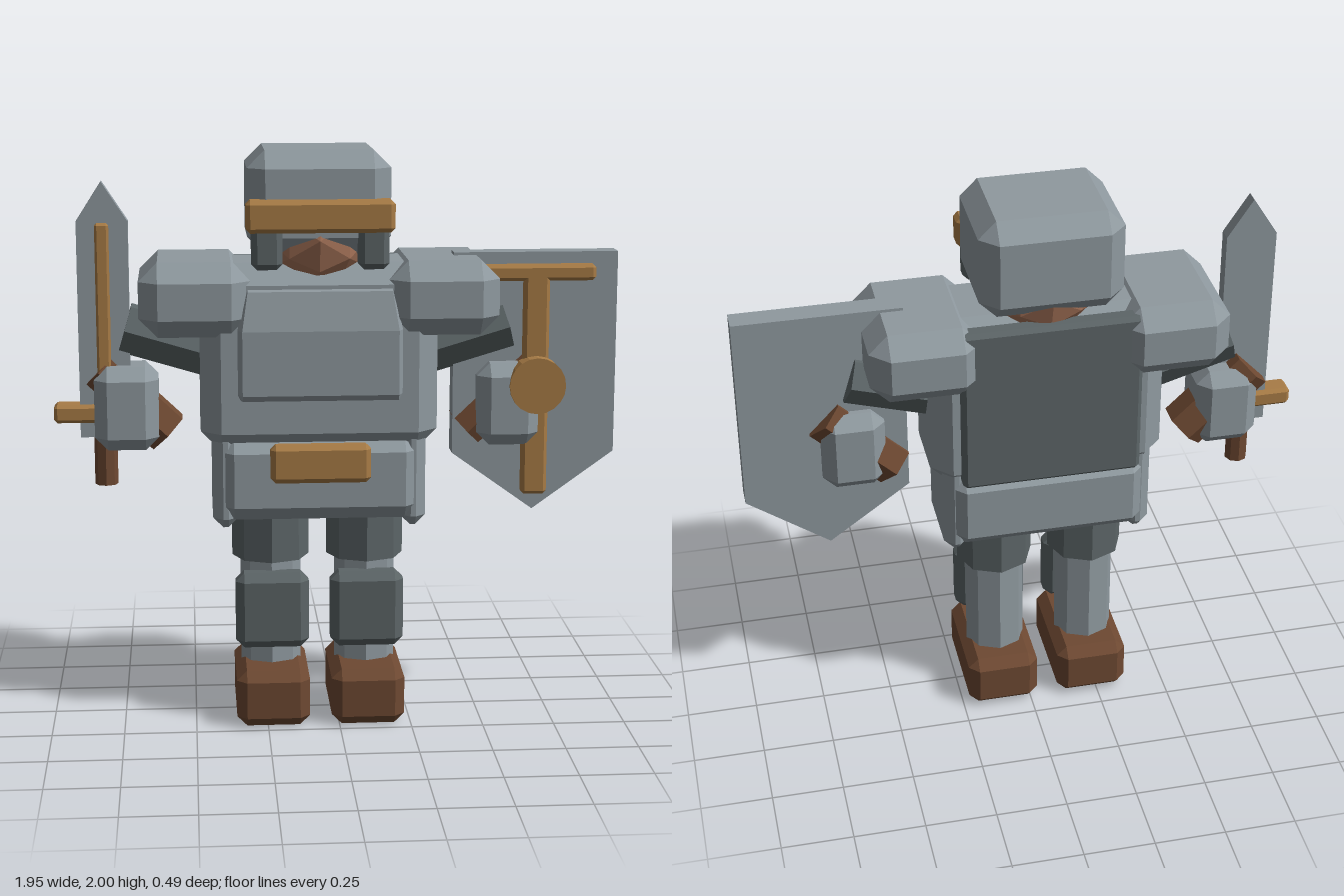
import * as THREE from 'three';
import { ConvexGeometry } from 'three/addons/geometries/ConvexGeometry.js';

const material = (name, color) => {
  const m = new THREE.MeshStandardMaterial({ color });
  m.name = name;
  return m;
};

// The body's own mirror plane; sword and shield make the whole wider on the left.
const CX = -0.065;

export function createModel() {
  const steel = material('steel', 0x8f999f);
  const darkSteel = material('dark steel', 0x5c6567);
  const brass = material('brass', 0xa87c46);
  const leather = material('leather', 0x6e4932);
  const skin = material('skin', 0xa8755a);

  const model = new THREE.Group();
  model.name = 'knight';

  function add(name, geometry, mat, parent = model) {
    const g = geometry.index ? geometry.toNonIndexed() : geometry;
    g.computeVertexNormals(); // flat facets
    const mesh = new THREE.Mesh(g, mat);
    mesh.name = name;
    parent.add(mesh);
    return mesh;
  }

  // Box with chamfered edges, given by its extents
  function block(x0, x1, y0, y1, z0, z1, c) {
    const half = [(x1 - x0) / 2, (y1 - y0) / 2, (z1 - z0) / 2];
    const points = [];
    for (const sx of [-1, 1]) for (const sy of [-1, 1]) for (const sz of [-1, 1]) {
      for (let outer = 0; outer < 3; outer++) {
        const h = half.map((v, i) => (i === outer ? v : v - c));
        points.push(new THREE.Vector3(sx * h[0], sy * h[1], sz * h[2]));
      }
    }
    return new ConvexGeometry(points).translate((x0 + x1) / 2, (y0 + y1) / 2, (z0 + z1) / 2);
  }

  // Flat outline with thickness along z
  function plate(outline, z0, z1) {
    const shape = new THREE.Shape(outline.map(([x, y]) => new THREE.Vector2(x, y)));
    return new THREE.ExtrudeGeometry(shape, { depth: z1 - z0, bevelEnabled: false }).translate(0, 0, z0);
  }

  // Faceted rod between two points in a plane of constant z
  function rod(x0, y0, x1, y1, z, r, sides) {
    const dx = x1 - x0, dy = y1 - y0;
    return new THREE.CylinderGeometry(r, r, Math.hypot(dx, dy), sides)
      .rotateZ(Math.atan2(dy, dx) - Math.PI / 2)
      .translate((x0 + x1) / 2, (y0 + y1) / 2, z);
  }

  // Head and helmet
  add('head', new THREE.IcosahedronGeometry(0.205, 1).translate(CX, 1.7, 0), skin);
  add('helmet', block(CX - 0.243, CX + 0.243, 1.65, 2, -0.23, 0.2, 0.06), steel);
  add('browBand', block(CX - 0.25, CX + 0.25, 1.73, 1.84, 0.16, 0.24, 0.015), brass);

  // Torso
  add('torso', block(CX - 0.407, CX + 0.407, 0.97, 1.62, -0.17, 0.19, 0.07), steel);
  const chest = [];
  for (const [y, w, z] of [[1.16, 0.265, 0.22], [1.18, 0.28, 0.2], [1.18, 0.265, 0.235], [1.4, 0.265, 0.235],
    [1.4, 0.28, 0.2], [1.53, 0.245, 0.2], [1.55, 0.245, 0.17], [1.16, 0.28, 0.15], [1.55, 0.25, 0.12]]) {
    for (const s of [-1, 1]) chest.push(new THREE.Vector3(CX + s * w, y, z));
  }
  add('chestPlate', new ConvexGeometry(chest), steel);
  add('backPlate', block(CX - 0.31, CX + 0.31, 1.0, 1.61, -0.21, -0.14, 0.015), darkSteel);

  // Hips and belt
  add('hips', block(CX - 0.345, CX + 0.345, 0.73, 1.02, -0.19, 0.19, 0.05), steel);
  add('buckle', block(CX - 0.172, CX + 0.172, 0.873, 1.007, 0.17, 0.23, 0.018), brass);

  // Paired parts
  for (const [s, side] of [[1, 'left'], [-1, 'right']]) {
    const limb = new THREE.Group();
    limb.name = side + 'Side';
    model.add(limb);
    const put = (name, g, m) => add(name, g, m, limb);
    const pair = (a, b, ...rest) => {
      const x = [CX + s * a, CX + s * b].sort((p, q) => p - q);
      return block(x[0], x[1], ...rest);
    };
    const at = (d) => CX + s * d;

    put('cheekGuard', pair(0.127, 0.232, 1.605, 1.78, 0.15, 0.225, 0.02), darkSteel);
    put('shoulderPad', pair(0.235, 0.612, 1.375, 1.63, -0.245, 0.24, 0.065), steel);
    put('upperArm', rod(at(0.22), 1.253, at(0.662), 1.385, 0, 0.093, 6), darkSteel);
    put('forearm', rod(at(0.52), 1.015, at(0.755), 1.24, 0, 0.085, 6), leather);
    put('gauntlet', pair(0.55, 0.77, 0.97, 1.26, -0.095, 0.13, 0.045), steel);
    put('hipPlate', pair(0.28, 0.368, 0.7, 1.08, -0.155, 0.16, 0.035), steel);

    // Leg
    put('thigh', new THREE.CylinderGeometry(0.135, 0.135, 0.2, 8).translate(at(0.166), 0.67, 0), darkSteel);
    put('shin', new THREE.CylinderGeometry(0.106, 0.106, 0.45, 8).translate(at(0.166), 0.375, 0), steel);
    put('shinGuard', pair(0.038, 0.293, 0.265, 0.535, 0.06, 0.16, 0.03), darkSteel);
    put('boot', pair(0.038, 0.293, 0, 0.2, -0.185, 0.23, 0.035), leather);
  }

  // Sword
  const sword = new THREE.Group();
  sword.name = 'sword';
  model.add(sword);
  add('blade', plate([[-0.885, 1.01], [-0.71, 1.01], [-0.71, 1.755], [-0.798, 1.89], [-0.885, 1.755]], 0, 0.05), steel, sword);
  add('fuller', block(-0.823, -0.775, 1.05, 1.75, 0.03, 0.065, 0.008), brass, sword);
  add('crossguard', block(-0.975, -0.625, 1.062, 1.126, -0.015, 0.068, 0.012), brass, sword);
  add('grip', new THREE.CylinderGeometry(0.04, 0.04, 0.26, 8).translate(-0.8, 0.97, 0.025), leather, sword);

  // Shield
  const shield = new THREE.Group();
  shield.name = 'shield';
  model.add(shield);
  add('shieldPlate', plate([[0.405, 1.64], [0.405, 0.935], [0.69, 0.73], [0.975, 0.935], [0.975, 1.64]], -0.03, 0.05), steel, shield);
  add('shieldStem', block(0.645, 0.735, 0.79, 1.57, 0.045, 0.09, 0.012), brass, shield);
  add('shieldBar', block(0.485, 0.895, 1.543, 1.6, 0.045, 0.09, 0.012), brass, shield);
  add('shieldBoss', rod(0.69, 1.15, 0.69, 1.22, 0, 0.098, 20)
    .translate(-0.69, -1.185, 0).rotateX(Math.PI / 2).translate(0.69, 1.185, 0.105), brass, shield);

  return model;
}
